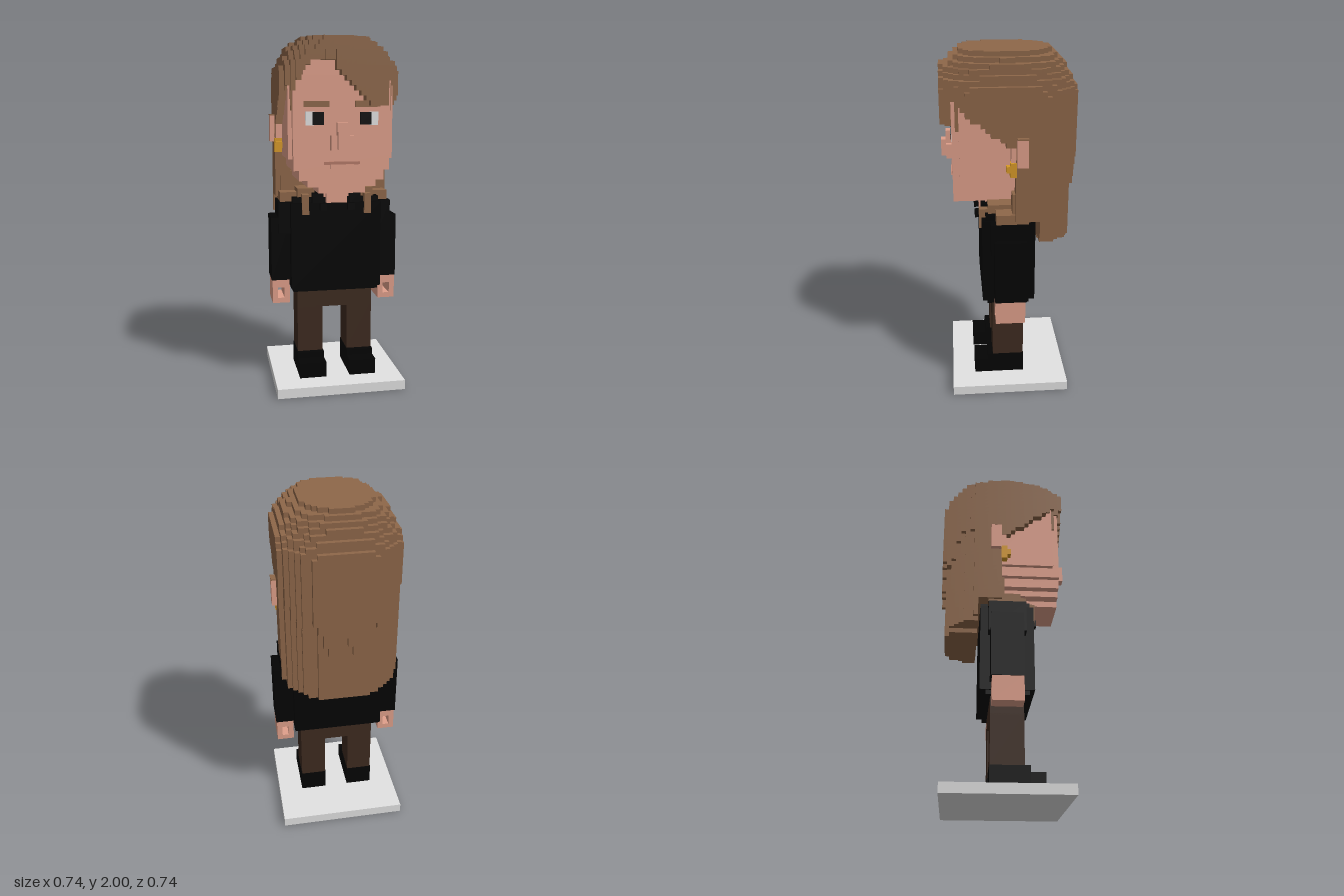
import * as THREE from 'three';

const mat = (name, color) => {
  const m = new THREE.MeshStandardMaterial({ color });
  m.name = name;
  return m;
};

export function createModel() {
  const root = new THREE.Group();
  root.name = 'blockFigure';
  const hair = mat('hairBrown', 0x8e6749);
  const skin = mat('skin', 0xe0a08b);
  const black = mat('clothBlack', 0x040404);
  const trouser = mat('trouserBrown', 0x3e2b20);
  const stone = mat('baseGrey', 0xe2e2e2);
  const white = mat('eyeWhite', 0xe4e4e4);
  const gold = mat('gold', 0xd89a28);
  const lip = mat('lip', 0xb47a68);

  const add = (name, geo, m) => {
    const mesh = new THREE.Mesh(geo, m);
    mesh.name = name;
    root.add(mesh);
    return mesh;
  };
  // Box given by its limits on each axis
  const box = (name, m, x0, x1, y0, y1, z0, z1) => {
    const mesh = add(name, new THREE.BoxGeometry(x1 - x0, y1 - y0, z1 - z0), m);
    mesh.position.set((x0 + x1) / 2, (y0 + y1) / 2, (z0 + z1) / 2);
  };
  // The same box on both sides of the body
  const pair = (name, m, x0, x1, ...r) => {
    box(name + 'Left', m, x0, x1, ...r);
    box(name + 'Right', m, -x1, -x0, ...r);
  };

  // Base
  box('base', stone, -0.37, 0.37, 0, 0.055, -0.34, 0.345);

  // Shoes and trousers
  pair('shoe', black, 0.07, 0.225, 0.055, 0.18, -0.085, 0.13);
  pair('shoeToe', black, 0.07, 0.225, 0.055, 0.145, 0.13, 0.21);
  pair('trouserLeg', trouser, 0.073, 0.222, 0.18, 0.46, -0.083, 0.1);
  box('hips', trouser, -0.222, 0.222, 0.45, 0.57, -0.083, 0.1);

  // Jumper
  box('jumperHem', black, -0.25, 0.25, 0.555, 0.6, -0.11, 0.13);
  box('torso', black, -0.262, 0.262, 0.58, 1.08, -0.143, 0.157);
  box('yoke', black, -0.25, 0.25, 1.07, 1.11, -0.143, 0.135);
  pair('shoulder', black, 0.26, 0.328, 0.9, 1.08, -0.1, 0.11);
  pair('sleeve', black, 0.255, 0.37, 0.62, 0.99, -0.088, 0.092);
  pair('collarSide', black, 0.075, 0.14, 1.07, 1.135, -0.1, 0.157);
  pair('collarTip', black, 0.06, 0.1, 1.04, 1.08, 0.157, 0.19);

  // Hands: blocks with a grip hole from front to back
  const hand = new THREE.Shape([[-0.05, 0], [0.05, 0], [0.05, 0.14], [-0.05, 0.14]]
    .map(p => new THREE.Vector2(...p)));
  hand.holes.push(new THREE.Path([[-0.019, 0.03], [-0.019, 0.092], [0.019, 0.092], [0.019, 0.03]]
    .map(p => new THREE.Vector2(...p))));
  const handGeo = new THREE.ExtrudeGeometry(hand, { depth: 0.17, bevelEnabled: false });
  for (const s of [1, -1]) {
    add(s > 0 ? 'handLeft' : 'handRight', handGeo, skin).position.set(s * 0.316, 0.482, -0.08);
  }

  // Neck and head, with a stepped jaw
  box('neck', skin, -0.1, 0.1, 1.03, 1.2, -0.06, 0.13);
  box('throat', skin, -0.06, 0.06, 1.08, 1.17, 0.12, 0.165);
  const jaw = [[1.155, 1.19, 0.13], [1.19, 1.225, 0.19], [1.225, 1.28, 0.235], [1.28, 1.36, 0.265]];
  for (const [y0, y1, w] of jaw) box('jaw', skin, -w, w, y0, y1, -0.1, 0.31);
  box('head', skin, -0.29, 0.29, 1.34, 1.78, -0.1, 0.272);
  box('face', skin, -0.268, 0.268, 1.36, 1.79, -0.1, 0.31);
  box('forehead', skin, -0.21, 0.21, 1.78, 1.87, -0.1, 0.308);

  // Face details
  box('nose', skin, -0.065, 0.065, 1.39, 1.47, 0.3, 0.343);
  box('noseBridge', skin, -0.03, 0.03, 1.46, 1.54, 0.3, 0.343);
  box('noseTip', skin, -0.03, 0.03, 1.395, 1.49, 0.3, 0.37);
  box('mouth', lip, -0.1, 0.1, 1.312, 1.328, 0.308, 0.315);
  box('lowerLip', skin, -0.065, 0.065, 1.29, 1.31, 0.3, 0.32);
  pair('eyeWhite', white, 0.15, 0.2, 1.525, 1.597, 0.306, 0.313);
  pair('pupil', black, 0.1, 0.162, 1.527, 1.595, 0.308, 0.316);
  pair('eyebrow', hair, 0.07, 0.21, 1.622, 1.654, 0.3, 0.322);

  // Ears and earrings
  pair('ear', skin, 0.28, 0.357, 1.42, 1.57, -0.09, -0.03);
  pair('earFront', skin, 0.28, 0.325, 1.4, 1.56, -0.04, 0.0);
  pair('earTuft', hair, 0.28, 0.358, 1.57, 1.577, -0.092, -0.03);
  pair('earring', gold, 0.292, 0.335, 1.36, 1.44, -0.03, 0.005);
  pair('earringHook', gold, 0.292, 0.331, 1.385, 1.42, 0.005, 0.025);

  // Hair outline by height: y, half width, front, back
  const outline = [
    [0.9, 0.337, 0.38, 0.372], [1.8, 0.337, 0.38, 0.372], [1.84, 0.325, 0.38, 0.35],
    [1.9, 0.29, 0.375, 0.315], [1.94, 0.265, 0.315, 0.285], [1.97, 0.225, 0.285, 0.245],
    [2, 0.172, 0.25, 0.215],
  ];
  const outlineAt = y => {
    let i = 1;
    while (i < outline.length - 1 && outline[i][0] < y) i++;
    const a = outline[i - 1], b = outline[i], t = (y - a[0]) / (b[0] - a[0]);
    return [1, 2, 3].map(k => a[k] + (b[k] - a[k]) * t);
  };
  const isHair = (x, y, z) => {
    const ax = Math.abs(x);
    let [w, front, back] = outlineAt(y);
    // Outer locks end at uneven heights down the back
    const lockEnd = 1.22 + 0.9 * Math.max(0, ax - 0.06) + 0.06 * (1 + Math.sin(x * 41 + 1));
    if (y < lockEnd) back -= 0.028;
    const n = y > 1.88 ? 2.8 : z > 0 ? 3.6 : 2.9;
    if ((ax / w) ** n + (Math.abs(z) / (z > 0 ? front : back)) ** n > 1) return false;
    if (z > -0.03) {
      // Side hairline sweeps up towards the forehead
      if (ax > 0.27) return y > 1.53 + 0.75 * Math.max(0, z - 0.02);
      if (z < 0.29) return y > 1.6;
      // Side-swept fringe, stopping short of the temple
      if (x > 0.25) return y > 1.76;
      if (x > -0.035) return y > Math.max(1.63, 1.79 - x);
      if (z > (x > -0.22 && x < -0.1 ? 0.31 : 0.345)) return false;
      return y > 1.86 - 1.7 * Math.max(0, -0.18 - x);
    }
    // Long hair hangs over the shoulders and down the back
    if (y < 1.09 && z > -0.155) return false;
    return y > 0.93 + 0.3 * Math.max(0, ax - 0.13);
  };
  add('hair', voxels(isHair, [-0.33, 0.94, -0.37], [0.33, 2, 0.37], [25, 40, 28]), hair);

  // Locks resting on the shoulders and chest
  pair('shoulderLock', hair, 0.2, 0.315, 1.08, 1.135, -0.1, 0.08);
  pair('neckLock', hair, 0.12, 0.22, 1.1, 1.16, -0.1, 0.12);
  pair('chestLock', hair, 0.16, 0.2, 1.015, 1.13, 0.12, 0.17);
  pair('sideLock', hair, 0.2, 0.3, 1.1, 1.25, -0.1, -0.01);
  return root;
}

// Outer faces of all grid cells whose centre passes the test
function voxels(test, min, max, count) {
  const size = min.map((m, i) => (max[i] - m) / count[i]);
  const filled = c => c.every((v, i) => v >= 0 && v < count[i]) &&
    test(...c.map((v, i) => min[i] + (v + 0.5) * size[i]));
  const pos = [];
  for (let i = 0; i < count[0]; i++)
    for (let j = 0; j < count[1]; j++)
      for (let k = 0; k < count[2]; k++) {
        const c = [i, j, k];
        if (!filled(c)) continue;
        for (let a = 0; a < 3; a++)
          for (const s of [1, -1]) {
            const next = [...c];
            next[a] += s;
            if (filled(next)) continue;
            const u = (a + (s > 0 ? 1 : 2)) % 3, v = (a + (s > 0 ? 2 : 1)) % 3;
            for (const [du, dv] of [[0, 0], [1, 0], [1, 1], [0, 0], [1, 1], [0, 1]]) {
              const p = [...c];
              p[a] += s > 0 ? 1 : 0;
              p[u] += du;
              p[v] += dv;
              pos.push(...p.map((q, n) => min[n] + q * size[n]));
            }
          }
      }
  const geo = new THREE.BufferGeometry();
  geo.setAttribute('position', new THREE.Float32BufferAttribute(pos, 3));
  geo.computeVertexNormals();
  return geo;
}
